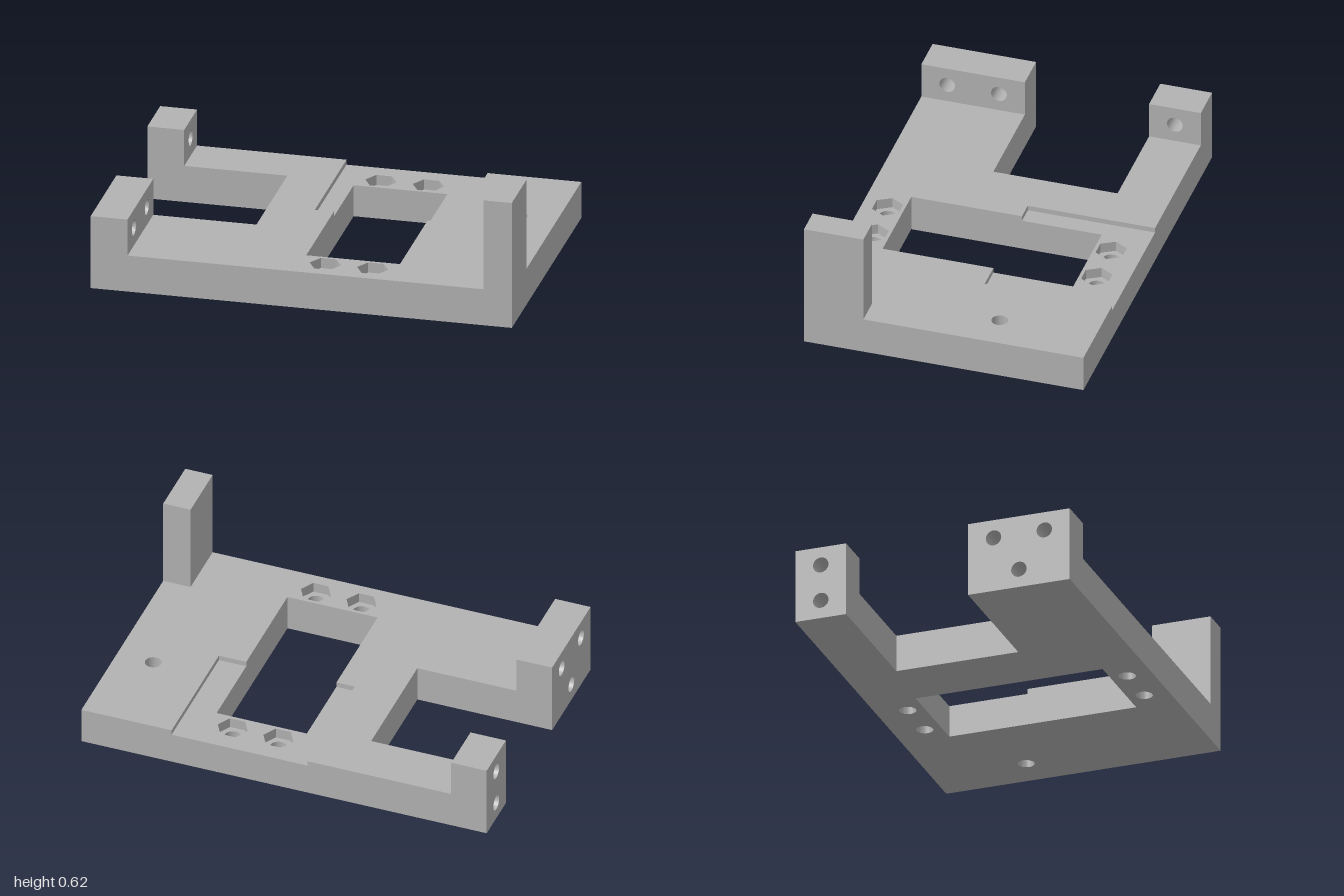
import * as THREE from 'three';

const BACK = -0.675, FRONT = 0.675;       // plate edges in z
const NOTCH_BACK = -0.425, NOTCH_FRONT = 0.175;
const BLOCK_X = -0.825;                   // inner face of the end blocks
const DECK = 0.18, RECESS = 0.155;        // deck height and recess floor

const path = (pts, Type = THREE.Path) => new Type(pts.map(([x, y]) => new THREE.Vector2(x, y)));

function circle(x, y, r) {
  const p = new THREE.Path();
  p.absarc(x, y, r, 0, Math.PI * 2, true);
  return p;
}

function hexagon(x, y, r) {
  const pts = [];
  for (let i = 0; i < 6; i++) {
    const a = (i * Math.PI) / 3;
    pts.push([x + r * Math.cos(a), y + r * Math.sin(a)]);
  }
  return path(pts);
}

// Plan outline as [x, z]; shape y is -z so that it lies flat after turning
const plan = (pts, Type) => path(pts.map(([x, z]) => [x, -z]), Type);

const windowRect = [[-0.025, -0.445], [0.42, -0.445], [0.42, 0.475], [-0.025, 0.475]];
const recessEdge = [
  [-0.115, BACK], [-0.115, -0.06], [-0.025, -0.06], [-0.025, 0.475],
  [0.42, 0.475], [0.42, -0.06], [0.555, -0.06], [0.555, BACK],
];

export function createModel() {
  const model = new THREE.Group();
  model.name = 'mountingBracket';
  const grey = new THREE.MeshStandardMaterial({ color: 0xb2b2b2 });
  grey.name = 'grey';

  const add = (geometry, name) => {
    const mesh = new THREE.Mesh(geometry, grey);
    mesh.name = name;
    model.add(mesh);
  };
  const extrude = (shape, depth) =>
    new THREE.ExtrudeGeometry(shape, { depth, bevelEnabled: false, curveSegments: 24 });

  // Base plate in layers: screw holes widen into hexagonal nut pockets
  const layers = [
    { y0: 0, y1: 0.105, front: 'round', rear: 'round' },
    { y0: 0.105, y1: 0.13, front: 'round', rear: 'hex' },
    { y0: 0.13, y1: RECESS, front: 'hex', rear: 'hex' },
    { y0: RECESS, y1: DECK, front: 'hex', rear: null },
  ];
  layers.forEach(({ y0, y1, front, rear }, i) => {
    const shape = plan([
      [BLOCK_X, FRONT], [1, FRONT], [1, BACK],
      ...(rear ? [] : [...recessEdge].reverse()),
      [BLOCK_X, BACK], [BLOCK_X, NOTCH_BACK], [-0.335, NOTCH_BACK],
      [-0.335, NOTCH_FRONT], [BLOCK_X, NOTCH_FRONT],
    ], THREE.Shape);
    if (rear) shape.holes.push(plan(windowRect));
    for (const [kind, z] of [[front, 0.555], [rear, -0.525]]) {
      if (!kind) continue;
      for (const x of [0.085, 0.31]) {
        shape.holes.push(kind === 'hex' ? hexagon(x, -z, 0.074) : circle(x, -z, 0.04));
      }
    }
    shape.holes.push(circle(0.82, 0.215, 0.039));
    const geometry = extrude(shape, y1 - y0);
    geometry.rotateX(-Math.PI / 2);
    geometry.translate(0, y0, 0);
    add(geometry, `plateLayer${i + 1}`);
  });

  // End blocks with holes running along x
  const endBlock = (name, z0, z1, holes) => {
    const shape = path([[-z1, 0], [-z0, 0], [-z0, 0.36], [-z1, 0.36]], THREE.Shape);
    for (const [z, y] of holes) shape.holes.push(circle(-z, y, 0.038));
    const geometry = extrude(shape, BLOCK_X + 1);
    geometry.rotateY(Math.PI / 2);
    geometry.translate(-1, 0, 0);
    add(geometry, name);
  };
  endBlock('frontEndBlock', NOTCH_FRONT, FRONT, [[0.3, 0.27], [0.55, 0.27], [0.425, 0.09]]);
  endBlock('rearEndBlock', BACK, NOTCH_BACK, [[-0.55, 0.27], [-0.55, 0.09]]);

  // Tall corner post
  const post = new THREE.BoxGeometry(0.135, 0.625 - DECK, 0.287);
  post.translate(0.9325, (0.625 + DECK) / 2, FRONT - 0.1435);
  add(post, 'cornerPost');

  return model;
}
